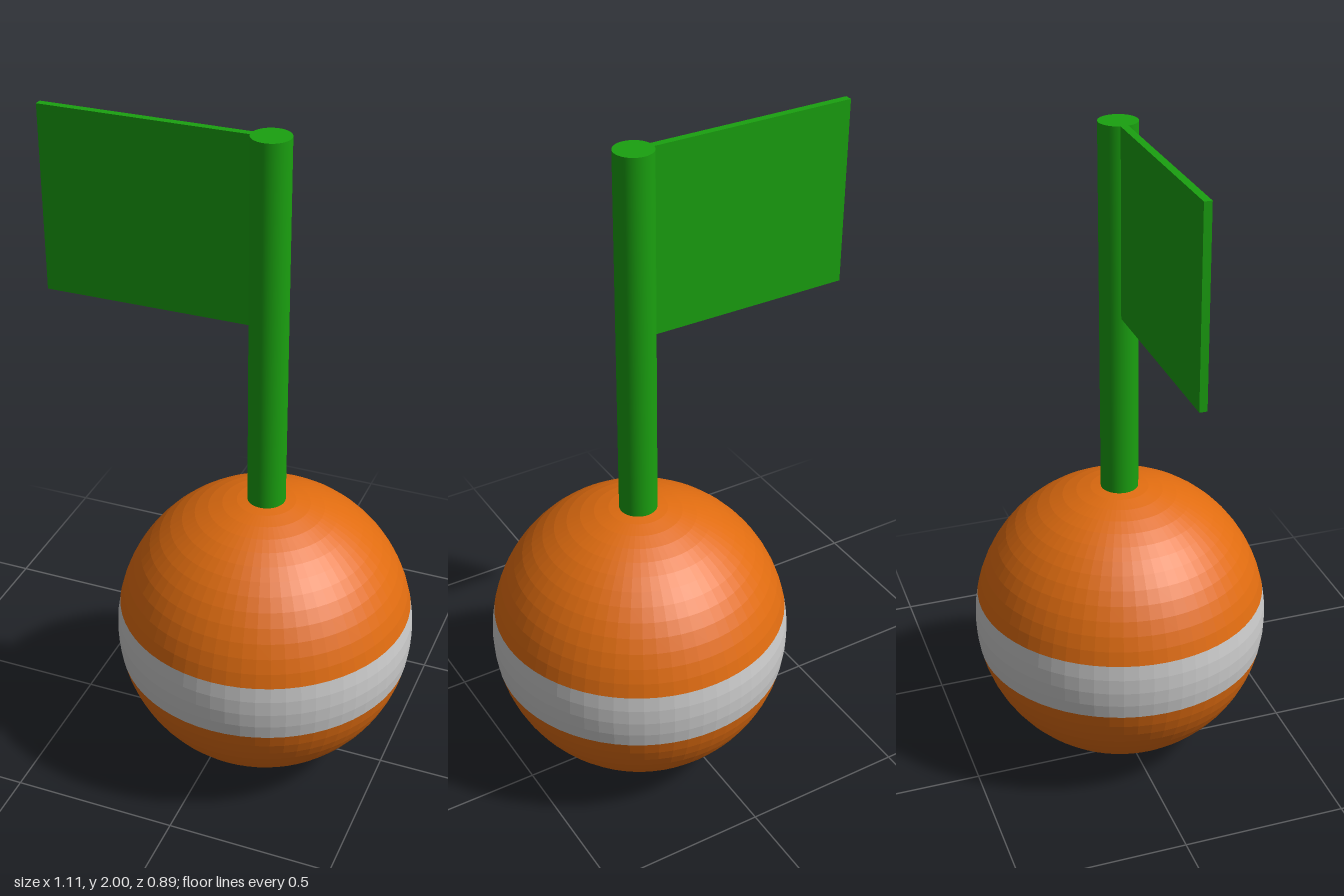
import * as THREE from 'three';

const R = 0.447;        // ball radius
const CX = 0.11;        // ball and pole axis
const BAND = Math.asin(0.09 / R); // half angle of the stripe

export function createModel() {
  const model = new THREE.Group();
  const orange = new THREE.MeshStandardMaterial({ color: 0xe06c10, flatShading: true });
  const grey = new THREE.MeshStandardMaterial({ color: 0xcccccc, flatShading: true });
  const green = new THREE.MeshStandardMaterial({ color: 0x1aa010 });

  function add(name, geometry, material, x, y) {
    const mesh = new THREE.Mesh(geometry, material);
    mesh.name = name;
    mesh.position.set(x, y, 0);
    model.add(mesh);
  }

  // Ball: two caps and a flush stripe, each a zone of one sphere
  const zone = (from, to, rows) =>
    new THREE.SphereGeometry(R, 64, rows, 0, Math.PI * 2, from, to - from);
  const top = Math.PI / 2 - BAND, bottom = Math.PI / 2 + BAND;
  add('ballTop', zone(0, top, 14), orange, CX, R);
  add('ballStripe', zone(top, bottom, 4), grey, CX, R);
  add('ballBottom', zone(bottom, Math.PI, 14), orange, CX, R);

  // Pole, its foot sunk slightly into the ball
  const foot = 0.87;
  add('pole', new THREE.CylinderGeometry(0.056, 0.056, 2 - foot, 48), green, CX, (2 + foot) / 2);

  // Thin flag on the pole's right side
  const x0 = -0.557, x1 = 0.06, y0 = 1.45;
  add('flag', new THREE.BoxGeometry(x1 - x0, 2 - y0, 0.022), green, (x0 + x1) / 2, (2 + y0) / 2);

  return model;
}
